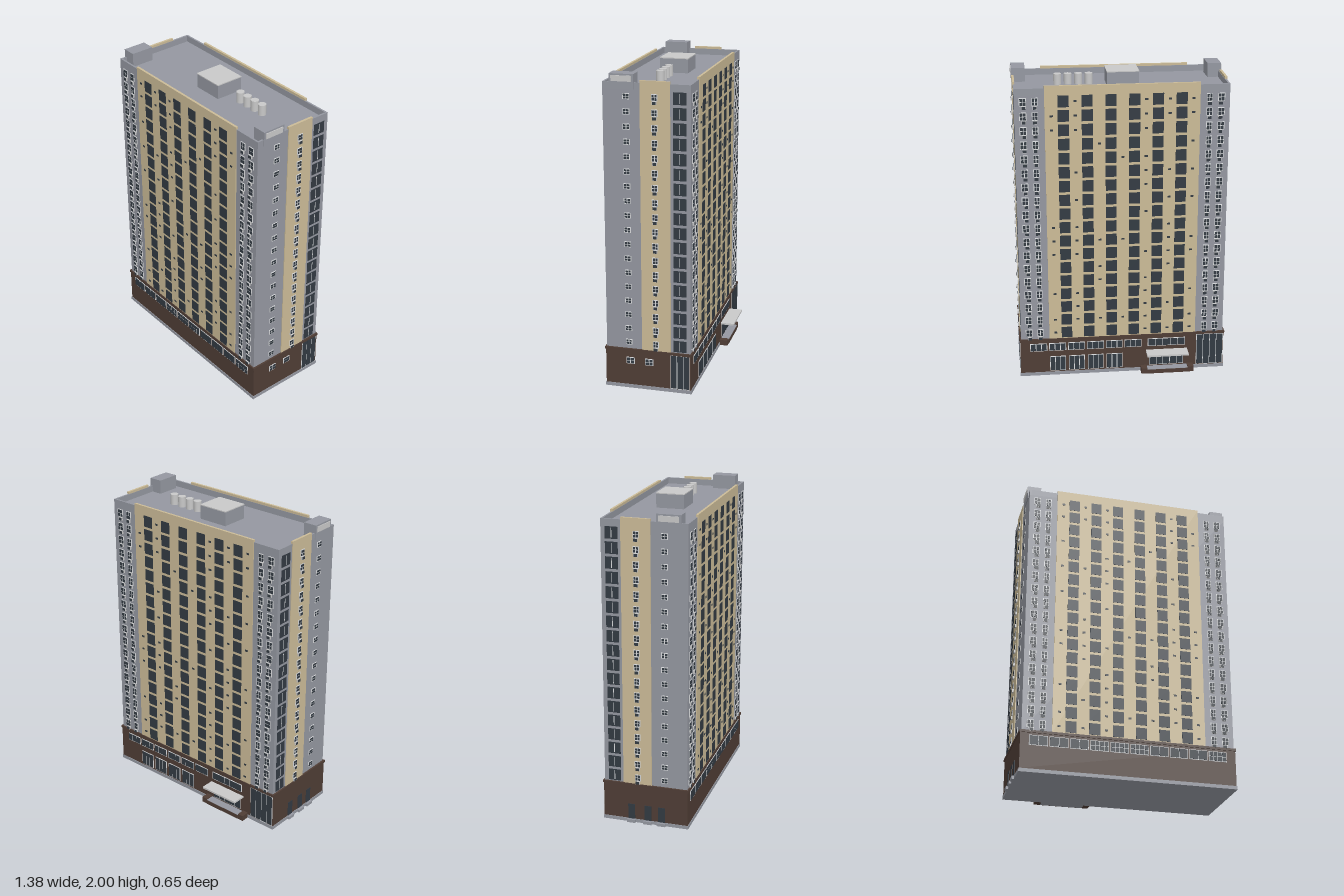
import * as THREE from 'three';
import { mergeGeometries } from 'three/addons/utils/BufferGeometryUtils.js';

const material = (name, color) => {
  const m = new THREE.MeshStandardMaterial({ color });
  m.name = name;
  return m;
};

export function createModel() {
  const M = {
    grey: material('grey wall', 0x9497a0),
    beige: material('beige panel', 0xcbbb97),
    brown: material('brown base', 0x4f3d35),
    glass: material('dark glass', 0x323a42),
    white: material('white frame', 0xdcdee0),
    light: material('light grey', 0xc8c8c8),
  };
  const model = new THREE.Group();
  model.name = 'towerBlock';

  const W = 0.668, ZF = 0.31, ZB = -0.23, ZC = (ZF + ZB) / 2, D = ZF - ZB;
  const BASE = 0.26, ROOF = 1.905, TOP = 1.945;
  const floors = Array.from({ length: 18 }, (_, i) => 0.307 + i * 0.0915);

  // box given by its min and max corners
  const block = (name, mat, x0, x1, y0, y1, z0, z1) => {
    const mesh = new THREE.Mesh(new THREE.BoxGeometry(x1 - x0, y1 - y0, z1 - z0), mat);
    mesh.position.set((x0 + x1) / 2, (y0 + y1) / 2, (z0 + z1) / 2);
    mesh.name = name;
    model.add(mesh);
  };

  // main volumes
  block('plinth', M.grey, -0.679, 0.679, 0, 0.022, -0.239, 0.319);
  block('base', M.brown, -0.675, 0.675, 0.022, BASE, -0.235, 0.315);
  block('baseCornice', M.brown, -0.68, 0.68, 0.248, 0.264, -0.24, 0.32);
  block('tower', M.grey, -W, W, BASE, ROOF, ZB, ZF);
  for (const s of [-1, 1]) {
    const x = s * (W - 0.006), z = ZC + s * (D / 2 - 0.006);
    block('parapetSide', M.grey, x - 0.006, x + 0.006, ROOF, TOP, ZB, ZF);
    block('parapetLong', M.grey, -W + 0.012, W - 0.012, ROOF, TOP, z - 0.006, z + 0.006);
    // corner roof houses
    const cx = s * 0.63;
    block('cornerHouse', M.grey, cx - 0.044, cx + 0.044, ROOF, 1.995, 0.117, 0.268);
    block('cornerHousePanel', M.light, s * 0.676 - 0.003, s * 0.676 + 0.003, 1.95, 1.985, 0.13, 0.255);
  }

  // roof equipment
  block('penthouse', M.grey, -0.12, 0.08, ROOF, 1.994, -0.06, 0.12);
  block('penthouseRoof', M.light, -0.122, 0.082, 1.994, 2, -0.062, 0.122);
  for (let i = 0; i < 4; i++) {
    const vent = new THREE.Mesh(new THREE.CylinderGeometry(0.025, 0.025, 0.068, 16), M.light);
    vent.position.set(0.188 + i * 0.066, ROOF + 0.034, 0.034);
    vent.name = 'roofVent';
    model.add(vent);
  }

  // a facade gathers flat pieces in local coordinates: u across, y up, w outward
  function facade(name, x, z, turn, build) {
    const parts = new Map();
    const add = (part, mat, u, y, w, h, from, depth) => {
      const g = new THREE.BoxGeometry(w, h, depth).translate(u, y, from + depth / 2);
      if (!parts.has(part)) parts.set(part, { mat, list: [] });
      parts.get(part).list.push(g);
    };
    // white plate with a grid of dark panes
    const framed = (u, y, w, h, cols, rows, from, bar = 0.004) => {
      add('windowFrames', M.white, u, y, w, h, from, 0.003);
      const pw = (w - bar * (cols + 1)) / cols, ph = (h - bar * (rows + 1)) / rows;
      for (let i = 0; i < cols; i++) for (let j = 0; j < rows; j++)
        add('windowPanes', M.glass, u - w / 2 + bar + pw / 2 + i * (pw + bar),
          y - h / 2 + bar + ph / 2 + j * (ph + bar), pw, ph, from + 0.003, 0.0015);
    };
    const cooler = (u, y, from) => {
      add('airConditioners', M.light, u, y, 0.026, 0.02, from, 0.01);
      add('coolerGrilles', M.glass, u, y, 0.023, 0.018, from + 0.01, 0.001);
    };
    build(add, framed, cooler);
    const group = new THREE.Group();
    group.name = name;
    for (const [part, { mat, list }] of parts) {
      const mesh = new THREE.Mesh(mergeGeometries(list), mat);
      mesh.name = part;
      group.add(mesh);
    }
    group.position.set(x, 0, z);
    group.rotation.y = turn;
    model.add(group);
  }

  // columns with a small vent window on each floor, from the top floor down
  const ventColumns = ['0125', '01256', '256', '04', '23', '0125', '2', '015', '2', '156',
    '013456', '01256', '14', '24', '0256', '125', '023456', '0126'];

  // shared upper part of the two long facades
  const longUpper = (flip) => (add, framed, cooler) => {
    add('beigePanel', M.beige, 0, (BASE + 1.96) / 2, 0.965, 1.96 - BASE, -0.01, 0.015);
    floors.forEach((y, f) => {
      for (let c = 0; c < 6; c++)
        add('loggiaGlass', M.glass, (c - 2.5) * 0.147, y, 0.069, 0.074, 0.005, 0.002);
      for (const c of ventColumns[17 - f])
        add('ventWindows', M.glass, flip * (c - 3) * 0.147, y, 0.019, 0.012, 0.005, 0.002);
      for (const s of [-1, 1]) {
        framed(s * 0.615, y, 0.044, 0.052, 2, 2, 0);
        framed(s * 0.541, y, 0.038, 0.052, 2, 2, 0);
        cooler(s * 0.61, y - 0.037, 0);
        cooler(s * 0.541, y - 0.037, 0);
      }
    });
  };

  facade('frontFacade', 0, ZF, 0, (add, framed, cooler) => {
    longUpper(1)(add, framed, cooler);
    // ribbon of ground floor windows
    [2, 2, 2, 4, 4, 4, 2, 2, 2, 4].forEach((cols, i) =>
      framed(-0.564 + i * 0.1247, 0.202, 0.115, 0.064, cols, cols === 4 ? 2 : 1, 0.005, 0.0035));
  });

  facade('backFacade', 0, ZB, Math.PI, (add, framed, cooler) => {
    longUpper(-1)(add, framed, cooler);
    for (let i = 0; i < 6; i++) framed(-0.555 + i * 0.1247, 0.203, 0.112, 0.055, 3, 1, 0.005);
    for (let i = 0; i < 4; i++) framed(-0.43 + i * 0.125, 0.082, 0.105, 0.105, 3, 1, 0.005);
    // entrance doors, the strip above the canopy and the corner glazing
    framed(0.292, 0.085, 0.23, 0.095, 5, 1, 0.005);
    framed(0.292, 0.203, 0.25, 0.055, 5, 1, 0.005);
    framed(0.582, 0.137, 0.18, 0.222, 4, 1, 0.005);
  });

  // short sides; s sets which way u runs along the depth
  const side = (s) => (add, framed, cooler) => {
    add('beigePanel', M.beige, s * -0.0125, (BASE + 1.96) / 2, 0.185, 1.96 - BASE, -0.01, 0.015);
    for (const y of floors) {
      framed(s * 0.165, y, 0.042, 0.036, 2, 2, 0);
      framed(s * -0.01, y, 0.038, 0.042, 2, 2, 0.005);
      cooler(s * -0.01, y - 0.032, 0.005);
      add('loggiaGlass', M.glass, s * -0.163, y, 0.08, 0.074, 0, 0.002);
      add('loggiaMullions', M.white, s * -0.163, y, 0.004, 0.06, 0.002, 0.001);
    }
  };

  facade('rightFacade', W, 0, Math.PI / 2, (add, framed, cooler) => {
    side(-1)(add, framed, cooler);
    framed(-0.155, 0.185, 0.054, 0.044, 2, 2, 0.007);
    framed(-0.034, 0.185, 0.054, 0.044, 2, 2, 0.007);
    framed(0.166, 0.137, 0.122, 0.226, 3, 1, 0.007);
  });

  facade('leftFacade', -W, 0, -Math.PI / 2, (add, framed, cooler) => {
    side(1)(add, framed, cooler);
    // service doors with steps
    for (const u of [-0.052, 0.055, 0.145]) {
      add('serviceDoors', M.glass, u, 0.072, 0.045, 0.1, 0.007, 0.003);
      add('doorSteps', M.grey, u, 0.01, 0.055, 0.02, 0.005, 0.02);
    }
  });

  // back entrance porch
  block('porchPlatform', M.grey, -0.43, -0.16, 0, 0.03, -0.29, -0.235);
  for (const x of [-0.47, -0.16]) block('porchCheek', M.brown, x, x + 0.04, 0, 0.037, -0.29, -0.235);
  block('porchFront', M.brown, -0.43, -0.16, 0, 0.028, -0.292, -0.29);
  block('canopy', M.light, -0.43, -0.155, 0.137, 0.149, -0.325, -0.235);

  return model;
}
